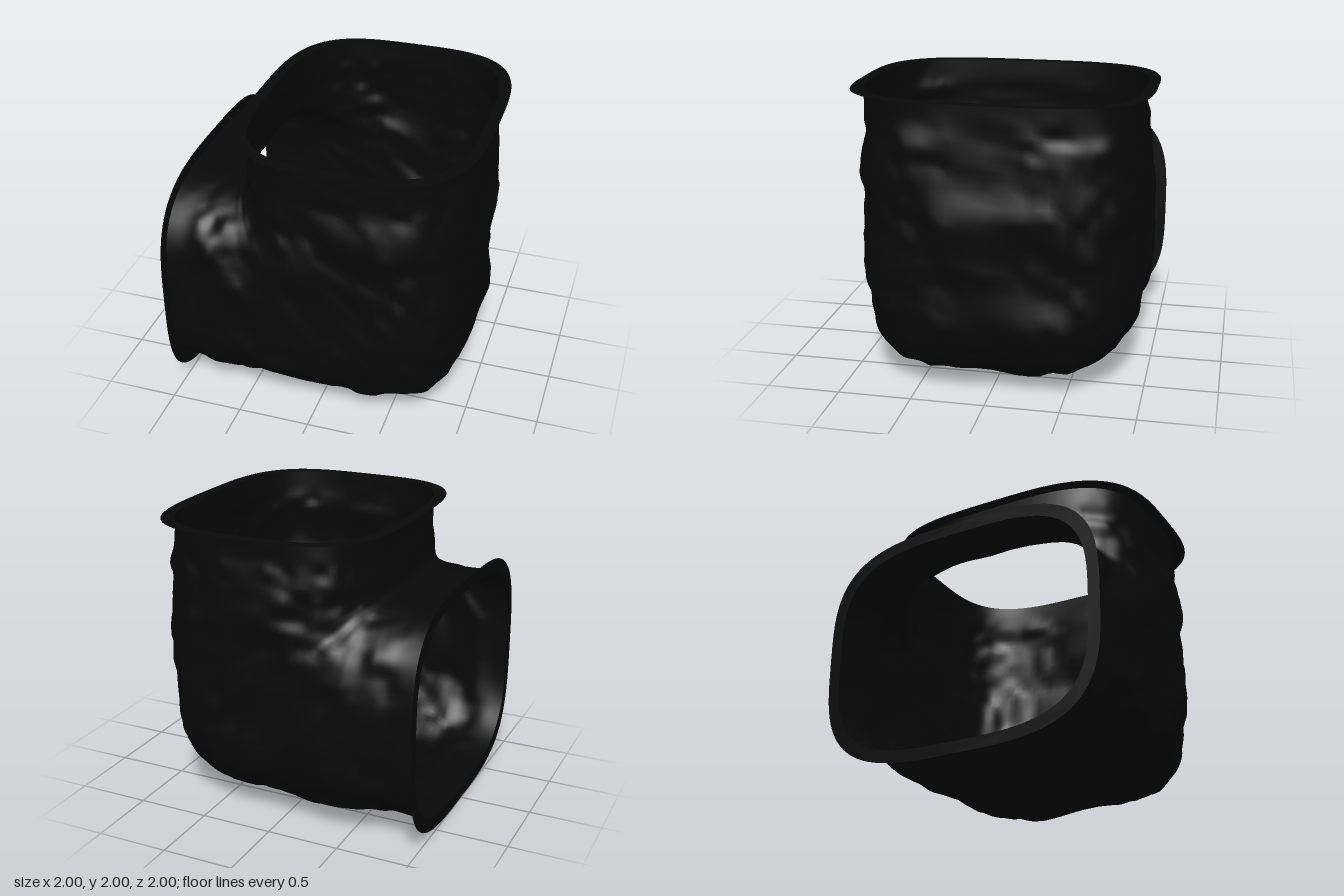
import * as THREE from 'three';

const stone = new THREE.MeshStandardMaterial({ color: 0x080808, side: THREE.DoubleSide });
stone.name = 'near black stone';

// Rounded-square outline: unit point at angle a
const EXP = 2 / 3.4;
const soft = (v) => Math.sign(v) * Math.pow(Math.abs(v), EXP);
const outline = (a) => [soft(Math.cos(a)), soft(Math.sin(a))];

// Smooth seeded value noise for the rough wall
function hash(x, y, z) {
  const s = Math.sin(x * 127.1 + y * 311.7 + z * 74.7 + 5.3) * 43758.5453;
  return (s - Math.floor(s)) * 2 - 1;
}
function noise(x, y, z) {
  const c = [x, y, z].map(Math.floor);
  const f = [x - c[0], y - c[1], z - c[2]].map((t) => t * t * (3 - 2 * t));
  let sum = 0;
  for (let k = 0; k < 8; k++) {
    const b = [k & 1, (k >> 1) & 1, k >> 2];
    const w = b.reduce((p, bit, n) => p * (bit ? f[n] : 1 - f[n]), 1);
    sum += w * hash(c[0] + b[0], c[1] + b[1], c[2] + b[2]);
  }
  return sum;
}

// Elbow stations: outer bend x, y and inner bend x, y
const STATIONS = [
  [-1, 0.08, -1, 1.56], [-0.8, 0.078, -0.82, 1.558], [-0.6, 0.06, -0.7, 1.564],
  [-0.2, 0.04, -0.62, 1.575], [0.15, 0.045, -0.605, 1.583], [0.47, 0.045, -0.597, 1.59],
  [0.74, 0.13, -0.591, 1.6], [0.87, 0.26, -0.587, 1.61], [0.95, 0.53, -0.582, 1.625],
  [0.955, 0.9, -0.578, 1.645], [0.965, 1.25, -0.574, 1.68], [0.94, 1.6, -0.568, 1.74],
  [0.92, 1.8, -0.56, 1.84], [0.92, 2, -0.56, 2],
];
const curve = (k) => new THREE.CatmullRomCurve3(
  STATIONS.map((s) => new THREE.Vector3(s[k], s[k + 1], 0)), false, 'catmullrom', 0.4);

// Wall: rounded-square sections that pivot about the inside corner
function elbowWall() {
  const rows = 91, cols = 128;
  const outer = curve(0), inner = curve(2);
  const pos = [], index = [];
  for (let i = 0; i <= rows; i++) {
    const t = i / rows;
    const o = outer.getPoint(t), n = inner.getPoint(t);
    const mid = o.clone().add(n).multiplyScalar(0.5);
    const half = n.clone().sub(o).multiplyScalar(0.5);
    const fromMouth = Math.min(t, 1 - t);
    const depth = 0.92 + 0.025 * THREE.MathUtils.smoothstep(fromMouth, 0.06, 0.25);
    for (let j = 0; j < cols; j++) {
      const a = (j / cols) * Math.PI * 2;
      const [u, w] = outline(a);
      const p = mid.clone().addScaledVector(half, u);
      p.z = depth * w;
      // roughness fades out at both mouths and in the inside corner
      const fade = THREE.MathUtils.smoothstep(fromMouth, 0.01, 0.12) * (u > 0.9 ? 0.35 : 1);
      const bump = fade * (0.03 * noise(p.x * 4, p.y * 4, p.z * 4)
        + 0.018 * noise(p.x * 10 + 9, p.y * 10, p.z * 10));
      const out = half.clone().normalize().multiplyScalar(Math.cos(a));
      out.z = Math.sin(a);
      p.addScaledVector(out, bump);
      pos.push(THREE.MathUtils.clamp(p.x, -1, 1), Math.max(p.y, 0),
        THREE.MathUtils.clamp(p.z, -0.995, 0.995));
      if (i < rows) {
        const j2 = (j + 1) % cols;
        const A = i * cols + j, B = i * cols + j2;
        index.push(A, B, A + cols, B, B + cols, A + cols);
      }
    }
  }
  const geo = new THREE.BufferGeometry();
  geo.setAttribute('position', new THREE.Float32BufferAttribute(pos, 3));
  geo.setIndex(index);
  geo.computeVertexNormals();
  return geo;
}

// Flat flange ring around a mouth, drawn in the xy plane
function flange() {
  const loop = (rx, ry) => Array.from({ length: 128 }, (_, j) => {
    const [u, w] = outline((j / 128) * Math.PI * 2);
    return new THREE.Vector2(rx * u, ry * w);
  });
  const shape = new THREE.Shape(loop(0.82, 1));
  shape.holes.push(new THREE.Path(loop(0.74, 0.92)));
  return new THREE.ShapeGeometry(shape);
}

export function createModel() {
  const model = new THREE.Group();
  model.name = 'tunnelElbow';
  const add = (name, geo) => {
    const mesh = new THREE.Mesh(geo, stone);
    mesh.name = name;
    model.add(mesh);
  };
  add('elbowWall', elbowWall());
  // top mouth faces up, side mouth faces -x
  add('topFlange', flange().rotateX(-Math.PI / 2).translate(0.18, 2, 0));
  add('sideFlange', flange().rotateZ(Math.PI / 2).rotateY(-Math.PI / 2).translate(-1, 0.82, 0));
  return model;
}
